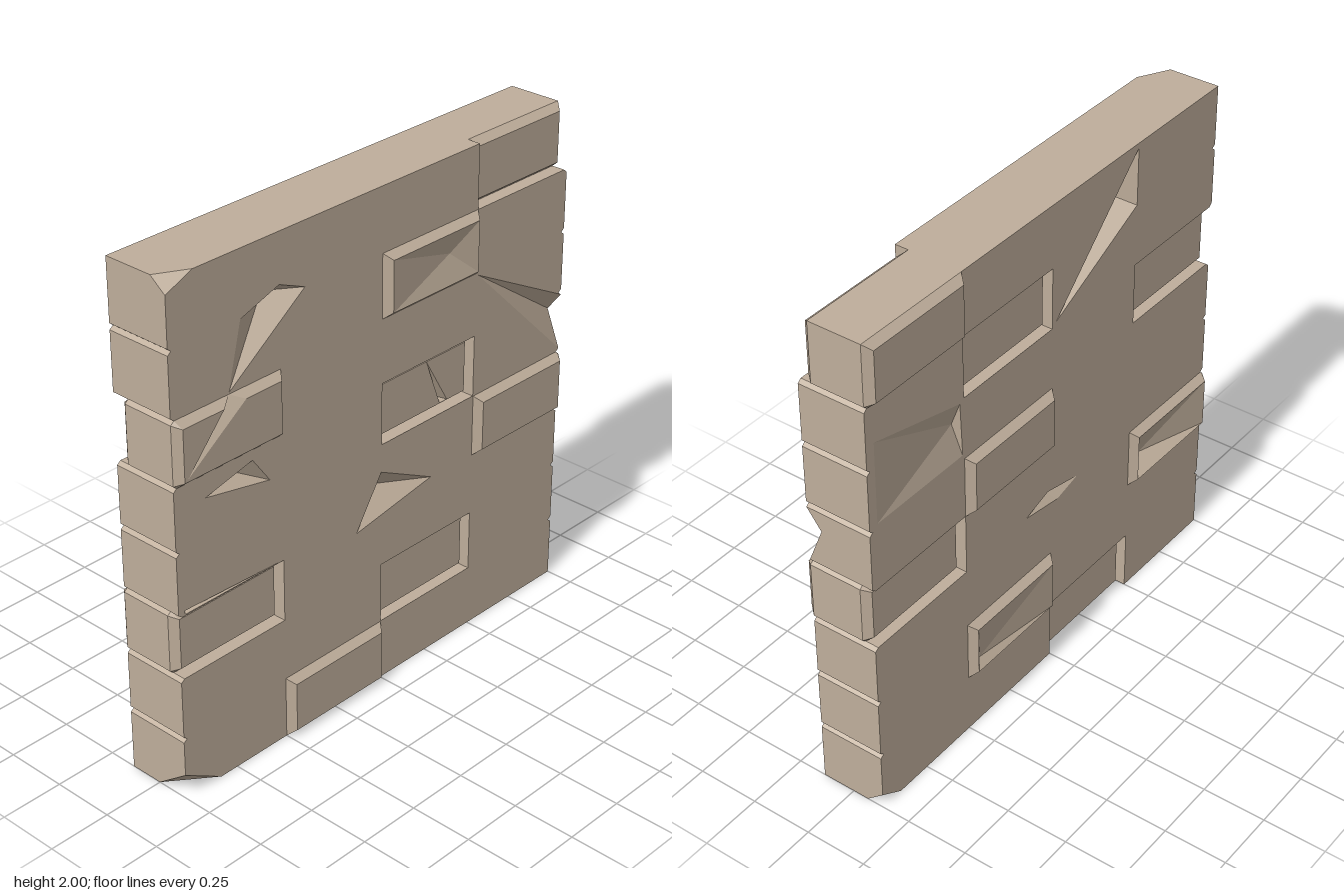
import * as THREE from 'three';

const D = 0.135, FACE = 0.165, SUNK_FACE = 0.11, SUNK_RIM = 0.08; // half depths
const BEVEL = 0.025, NOTCH = 0.015;

// Bricks pushed out of line: column, row, direction (+1 forward, -1 backward)
const BRICKS = [
  { c: 0, r: 5, s: 1, slit: true },
  { c: 2, r: 6, s: 1, frontDent: [0.35, 1.63, 0.135] },
  { c: 1, r: 0, s: 1 },
  { c: 3, r: 3, s: 1 },
  { c: 2, r: 4, s: -1, crack: [[0.265, 1.222], [0.34, 1.027], [0.38, 1.027]] },
  { c: 2, r: 1, s: -1, backDent: [0.44, 0.31, -0.14] },
  { c: 0, r: 2, s: -1, backDent: [-0.62, 0.57, -0.1] },
  { c: 3, r: 7, s: -1 },
];
// Chips in the wall faces: rim points and deepest point
const CHIPS = {
  1: [
    { rim: [[-0.74, 1.505], [-0.38, 1.76], [-0.5, 1.81], [-0.68, 1.75]], deep: [-0.51, 1.767, 0.06] },
    { rim: [[-0.86, 1.16], [-0.56, 1.1], [-0.64, 1.21]], deep: [-0.67, 1.155, 0.08] },
    { rim: [[-0.13, 0.69], [0.27, 0.755], [0, 0.89]], deep: [0.04, 0.8, 0.07] },
    { rim: [[-0.97, 0.755], [-0.52, 0.753], [-0.97, 0.77]], deep: [-0.96, 0.758, 0.11] },
  ],
  '-1': [
    { rim: [[-0.02, 1.52], [-0.5, 1.98], [-0.5, 1.75]], deep: [-0.46, 1.78, -0.06] },
    { rim: [[0.15, 0.76], [0.02, 0.8], [-0.16, 0.76], [-0.04, 0.73]], deep: [0, 0.768, -0.105] },
    { rim: [[0.96, 1.6], [0.52, 1.49], [0.51, 1.27], [0.96, 1.27]], deep: [0.53, 1.4, -0.105] },
  ],
};
// Broken corners and edge: outline point, its depth, extra rim points
const BREAKS = {
  1: { '-1,2': { z: 0.07, rim: [] }, '-1,0': { z: 0, rim: [] }, '1,1.16': { z: 0.075, rim: [[0.51, 1.49]] } },
  '-1': { '1,0': { z: -0.065, rim: [] } },
};

const key = (p) => `${p[0]},${p[1]}`;
const at = (p, z) => [p[0], p[1], z];
const clampIdx = (v, n) => Math.min(n, Math.max(0, Math.floor(v)));
const bounds = ({ c, r }) => ({ x0: -1 + c * 0.5, x1: -0.5 + c * 0.5, y0: r * 0.25, y1: r * 0.25 + 0.25 });
const brickBetween = (p, q) => {
  const c = clampIdx((p[0] + q[0] + 2) , 3), r = clampIdx((p[1] + q[1]) * 2, 7);
  return BRICKS.find((b) => b.c === c && b.r === r);
};

// Collects triangles; side +1 / -1 turns them to face front / back
class Surface {
  pos = [];
  tri(a, b, c) { this.pos.push(...a, ...b, ...c); }
  facing(a, b, c, side) {
    const nz = (b[0] - a[0]) * (c[1] - a[1]) - (b[1] - a[1]) * (c[0] - a[0]);
    if (nz * side < 0) this.tri(a, c, b); else this.tri(a, b, c);
  }
  fan(rim, z, deep, side, closed = true) {
    const n = closed ? rim.length : rim.length - 1;
    for (let i = 0; i < n; i++) this.facing(at(rim[i], z), at(rim[(i + 1) % rim.length], z), deep, side);
  }
  sheet(outline, holes, z, side) {
    const v = (l) => l.map((p) => new THREE.Vector2(p[0], p[1]));
    const all = [outline, ...holes].flat();
    for (const [a, b, c] of THREE.ShapeUtils.triangulateShape(v(outline), holes.map(v))) {
      this.facing(at(all[a], z), at(all[b], z), at(all[c], z), side);
    }
  }
  mesh(name, material) {
    const g = new THREE.BufferGeometry();
    g.setAttribute('position', new THREE.Float32BufferAttribute(this.pos, 3));
    g.computeVertexNormals();
    const m = new THREE.Mesh(g, material);
    m.name = name;
    return m;
  }
}

// Wall end with a small notch at every course
function endPoints(sign, extras) {
  const pts = extras.map((y) => [sign, y]);
  for (let r = 1; r < 8; r++) {
    const y = r * 0.25;
    pts.push([sign, y - 0.012], [sign * (1 - NOTCH), y], [sign, y + 0.012]);
  }
  return pts.sort((a, b) => (a[1] - b[1]) * sign);
}

// Whole outline, anticlockwise from the front
const OUTLINE = [
  [-0.83, 0], [-0.5, 0], [0, 0], [0.5, 0], [0.9, 0],
  ...endPoints(1, [0, 0.06, 1.16, 2]),
  [0.5, 0 + 2], [0, 2], [-0.5, 2], [-0.88, 2],
  ...endPoints(-1, [2, 1.95, 0.1, 0]),
];

// Rim around the thickness of the wall
function addEnds(surface) {
  const depth = (p, b, side) => {
    const brk = BREAKS[side][key(p)];
    return brk ? brk.z : side * (b && b.s !== side ? SUNK_RIM : D);
  };
  OUTLINE.forEach((p, i) => {
    const q = OUTLINE[(i + 1) % OUTLINE.length], b = brickBetween(p, q);
    const pb = at(p, depth(p, b, -1)), qb = at(q, depth(q, b, -1));
    const pf = at(p, depth(p, b, 1)), qf = at(q, depth(q, b, 1));
    surface.tri(pb, qb, qf);
    surface.tri(pb, qf, pf);
  });
}

// Flat wall face with openings for bricks and chips
function addFace(surface, side) {
  const n = OUTLINE.length, outline = [], z = side * D;
  OUTLINE.forEach((p, i) => {
    const prev = OUTLINE[(i + n - 1) % n], next = OUTLINE[(i + 1) % n];
    const before = brickBetween(prev, p), after = brickBetween(p, next);
    const brk = BREAKS[side][key(p)];
    if (brk) {
      surface.fan([prev, ...brk.rim, next], z, at(p, brk.z), side, false);
      outline.push(...brk.rim);
    } else if (!(before && after)) {
      outline.push(p);
      if (after) { // step around a brick at the edge
        const { x0, x1, y0, y1 } = bounds(after);
        if (after.r === 0) outline.push([x0, y1], [x1, y1]);
        else if (after.c === 3) outline.push([x0, y0], ...(after.r < 7 ? [[x0, y1]] : []));
        else outline.push([x1, y1], [x1, y0]);
      }
    }
  });
  const e = 0.002;
  const holes = BRICKS.filter((b) => b.c === 2).map((b) => {
    const { x0, x1, y0, y1 } = bounds(b);
    return [[x0 + e, y0 + e], [x1 - e, y0 + e], [x1 - e, y1 - e], [x0 + e, y1 - e]];
  });
  for (const { rim, deep } of CHIPS[side]) {
    holes.push(rim);
    surface.fan(rim, z, deep, side);
  }
  surface.sheet(outline, holes, z, side);
}

// Bevelled end of one shifted brick, raised or sunk
function addBrick(surface, b, side) {
  const { x0, x1, y0, y1 } = bounds(b), raised = b.s === side;
  const zBase = side * (raised ? D : SUNK_RIM), zFace = side * (raised ? FACE : SUNK_FACE);
  const base = [];
  if (b.c === 0) base.push([x0 + NOTCH, y0], [x1, y0], [x1, y1], [x0 + NOTCH, y1], [x0, y1 - 0.012], [x0, y0 + 0.012]);
  else if (b.c === 3) base.push([x0, y0], [x1 - NOTCH, y0], [x1, y0 + 0.012], [x1, y1 - 0.012], [y1 === 2 ? x1 : x1 - NOTCH, y1], [x0, y1]);
  else base.push([x0, y0], [x1, y0], [x1, y1], [x0, y1]);
  const top = base.map(([x, y]) => [
    THREE.MathUtils.clamp(x, x0 + BEVEL, x1 - BEVEL), THREE.MathUtils.clamp(y, y0 + BEVEL, y1 - BEVEL)]);
  if (b.slit && side === 1) { // gouge running down across the brick
    base.splice(3, 0, [-0.74, 1.5], [-0.95, 1.3], [-0.74, 1.5]);
    top.splice(3, 0, [-0.69, 1.475], [-0.96, 1.285], [-0.79, 1.475]);
  }
  base.forEach((p, i) => {
    const j = (i + 1) % base.length, q = base[j];
    surface.facing(at(p, zBase), at(q, zBase), at(top[j], zFace), side);
    surface.facing(at(p, zBase), at(top[j], zFace), at(top[i], zFace), side);
    const onEdge = (Math.abs(p[0]) > 0.98 && Math.abs(q[0]) > 0.98) || (p[1] === q[1] && (p[1] === 0 || p[1] === 2));
    if (!raised && !onEdge) { // wall of the recess
      const [u, v] = side > 0 ? [p, q] : [q, p];
      surface.tri(at(u, side * D), at(v, side * D), at(v, zBase));
      surface.tri(at(u, side * D), at(v, zBase), at(u, zBase));
    }
  });
  const dent = side > 0 ? b.frontDent : b.backDent;
  const crack = side > 0 && b.crack;
  if (dent) surface.fan(top, zFace, dent, side);
  else surface.sheet(top, crack ? [crack] : [], zFace, side);
  if (crack) surface.fan(crack, zFace, [0.35, 1.04, 0.08], side);
}

export function createModel() {
  const model = new THREE.Group();
  model.name = 'brickWall';
  const stone = new THREE.MeshStandardMaterial({ color: 0xbfae9b, flatShading: true, side: THREE.DoubleSide });
  const part = (name, build) => {
    const s = new Surface();
    build(s);
    model.add(s.mesh(name, stone));
  };
  part('wallEnds', addEnds);
  part('wallFront', (s) => addFace(s, 1));
  part('wallBack', (s) => addFace(s, -1));
  BRICKS.forEach((b, i) => part(`brick${i + 1}`, (s) => { addBrick(s, b, 1); addBrick(s, b, -1); }));
  return model;
}
